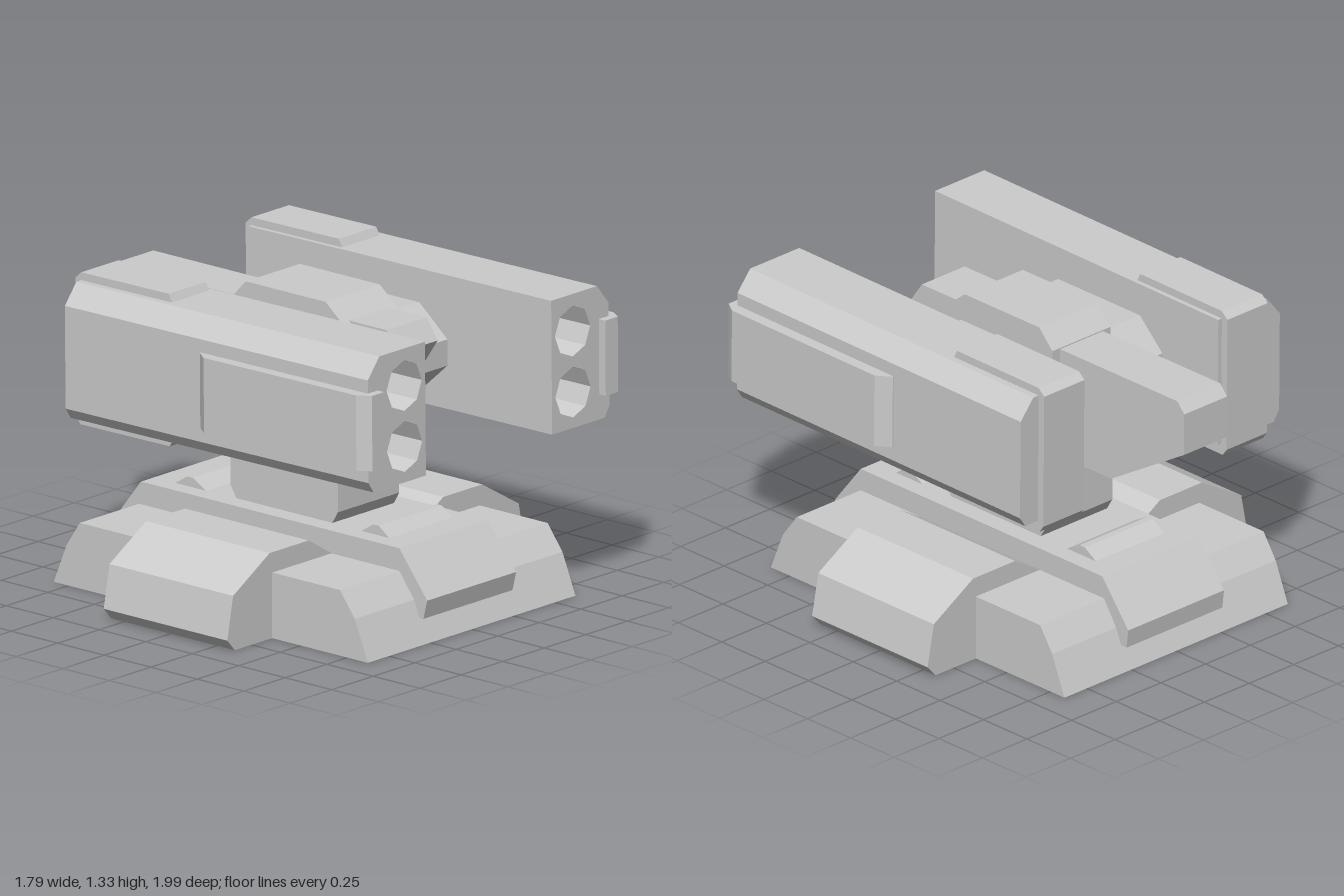
import * as THREE from 'three';

const material = new THREE.MeshStandardMaterial({ color: 0xcccccc, flatShading: true });

const polygon = (points) => new THREE.Shape(points.map(([a, b]) => new THREE.Vector2(a, b)));

const extrude = (shape, depth) =>
  new THREE.ExtrudeGeometry(shape, { depth, bevelEnabled: false });

function part(name, geometry) {
  const mesh = new THREE.Mesh(geometry, material);
  mesh.name = name;
  return mesh;
}

// [z, y] profile swept across x from x0 to x1
function acrossX(name, points, x0, x1) {
  return part(name, extrude(polygon(points), x1 - x0).rotateY(-Math.PI / 2).translate(x1, 0, 0));
}

// [x, y] profile swept along z from z0 to z1
function alongZ(name, shape, z0, z1) {
  return part(name, extrude(shape, z1 - z0).translate(0, 0, z0));
}

// [x, z] profile raised along y from y0 to y1
function alongY(name, points, y0, y1) {
  const shape = polygon(points.map(([x, z]) => [x, -z]));
  return part(name, extrude(shape, y1 - y0).rotateX(-Math.PI / 2).translate(0, y0, 0));
}

function createBase() {
  const base = new THREE.Group();
  base.name = 'base';

  // Long slab with sloping front and back
  base.add(acrossX('baseSlab', [
    [0.86, 0], [0.79, 0.17], [0.71, 0.275], [-0.69, 0.275], [-0.76, 0.17], [-0.83, 0],
  ], -0.625, 0.625));

  // Raised spine along the middle
  base.add(acrossX('baseSpine', [
    [0.84, 0.1], [0.86, 0.18], [0.71, 0.37], [-0.68, 0.37], [-0.83, 0.18], [-0.82, 0.1],
  ], -0.268, 0.268));

  // Small ridges in front of and behind the column
  base.add(acrossX('frontRidge', [[0.6, 0.36], [0.53, 0.41], [0.5, 0.41], [0.42, 0.36]], -0.19, 0.19));
  base.add(acrossX('rearRidge', [[-0.38, 0.36], [-0.47, 0.41], [-0.5, 0.41], [-0.58, 0.36]], -0.19, 0.19));

  // Side feet
  for (const s of [1, -1]) {
    const profile = [
      [0.25, 0], [0.85, 0], [0.895, 0.05], [0.86, 0.23], [0.64, 0.36], [0.405, 0.36], [0.265, 0.275],
    ].map(([x, y]) => [s * x, y]);
    base.add(alongZ(s > 0 ? 'leftFoot' : 'rightFoot', polygon(profile), -0.32, 0.345));
  }
  return base;
}

function createTurret() {
  const turret = new THREE.Group();
  turret.name = 'turret';

  turret.add(acrossX('column', [
    [0.27, 0.36], [0.305, 0.42], [0.305, 0.95], [-0.272, 0.95], [-0.272, 0.42], [-0.235, 0.36],
  ], -0.185, 0.185));

  // Eight-sided body between the pods
  turret.add(acrossX('crossBody', [
    [0.24, 1.16], [0.39, 1.035], [0.39, 0.925], [0.24, 0.79],
    [-0.23, 0.79], [-0.36, 0.925], [-0.36, 1.035], [-0.23, 1.16],
  ], -0.39, 0.39));

  turret.add(acrossX('topHousing', [
    [0.22, 1.28], [0.355, 1.17], [0.355, 1.08], [0.34, 1.07],
    [-0.27, 1.07], [-0.285, 1.08], [-0.285, 1.2], [-0.21, 1.28],
  ], -0.163, 0.163));

  // Front nose with undercut face
  turret.add(acrossX('nose', [
    [0.2, 1.21], [0.51, 1.21], [0.57, 1.125], [0.43, 0.92], [0.31, 0.8], [0.2, 0.8],
  ], -0.12, 0.12));

  // Rear counterweight arm
  turret.add(acrossX('rearArm', [
    [-0.2, 1.195], [-0.96, 1.195], [-1, 1.15], [-1, 0.97], [-0.58, 0.72], [-0.2, 0.72],
  ], -0.12, 0.12));
  return turret;
}

function createPod(s) {
  const pod = new THREE.Group();
  pod.name = s > 0 ? 'leftPod' : 'rightPod';
  const mirror = (points) => points.map(([x, b]) => [s * x, b]);

  // Casing with two eight-sided bores
  const casing = polygon(mirror([
    [0.38, 0.74], [0.695, 0.74], [0.725, 0.785], [0.725, 1.215], [0.655, 1.3], [0.38, 1.3],
  ]));
  for (const y of [1.145, 0.89]) {
    const bore = [];
    for (let i = 0; i < 8; i++) {
      const a = (i / 8) * Math.PI * 2;
      bore.push(new THREE.Vector2(s * 0.507 + 0.106 * Math.cos(a), y + 0.106 * Math.sin(a)));
    }
    casing.holes.push(new THREE.Path(bore));
  }
  pod.add(alongZ('podCasing', casing, -0.67, 0.96));

  // Rear block wrapping the casing and closing the bores
  const [x0, x1] = s > 0 ? [0.4, 0.625] : [-0.625, -0.4];
  pod.add(acrossX('podRearBlock', [
    [-0.18, 1.295], [-0.2, 1.333], [-0.67, 1.333], [-0.702, 1.305],
    [-0.702, 0.725], [-0.68, 0.695], [-0.2, 0.695], [-0.18, 0.725],
  ], x0, x1));

  // Armour plate on the outer side
  pod.add(alongY('podSidePlate', mirror([
    [0.665, 0.995], [0.74, 0.995], [0.775, 0.94], [0.775, 0.12], [0.73, 0.06], [0.665, 0.06],
  ]), 0.845, 1.16));

  // Slight upward tilt
  pod.rotation.x = -0.009;
  return pod;
}

export function createModel() {
  const model = new THREE.Group();
  model.name = 'twinPodTurret';
  model.add(createBase(), createTurret(), createPod(1), createPod(-1));
  return model;
}
